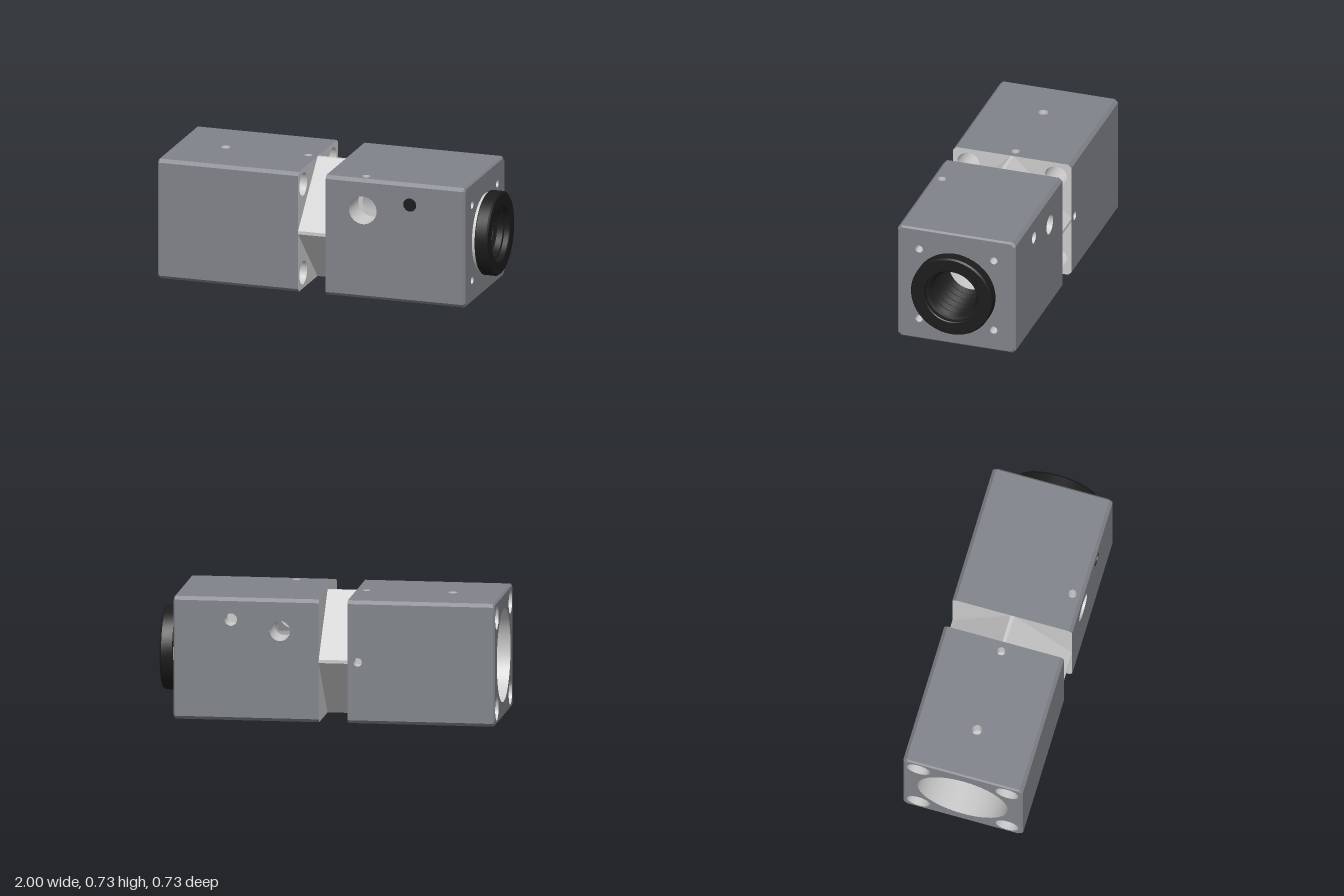
import * as THREE from 'three';
import { toCreasedNormals } from 'three/addons/utils/BufferGeometryUtils.js';

const H = 0.365;   // half height and depth of the blocks
const C = 0.02;    // long edge chamfer
const BEVEL = 0.01; // bevel on the outer ends
const CHAMBER = 0.2;

const mat = (color) => new THREE.MeshStandardMaterial({ color, side: THREE.DoubleSide });

export function createModel() {
  const painted = mat(0x808389);
  const metal = mat(0xcccccc);
  const black = mat(0x1c1c1c);
  const model = new THREE.Group();

  const add = (parent, name, geometry, material) => {
    const mesh = new THREE.Mesh(geometry, material);
    mesh.name = name;
    parent.add(mesh);
    return mesh;
  };

  // Chamfered square, as [z, y] corners; even edges are the flat sides
  const octagon = (h, c) => {
    const f = h - c;
    return [[h, -f], [h, f], [f, h], [-f, h], [-h, f], [-h, -f], [-f, -h], [f, -h]];
  };

  const polygon = (points, holes) => {
    const shape = new THREE.Shape(points.map(([a, b]) => new THREE.Vector2(a, b)));
    for (const [x, y, r] of holes) shape.holes.push(new THREE.Path().absarc(x, y, r, 0, Math.PI * 2, true));
    return shape;
  };

  // Strips between two octagons; step 2 makes only the corner chamfers
  const strips = (x0, h0, x1, h1, first, step) => {
    const p = octagon(h0, C), q = octagon(h1, C), pos = [];
    for (let i = first; i < 8; i += step) {
      const j = (i + 1) % 8;
      const a = [x0, p[i][1], p[i][0]], b = [x1, q[i][1], q[i][0]];
      const c = [x1, q[j][1], q[j][0]], d = [x0, p[j][1], p[j][0]];
      pos.push(...a, ...b, ...c, ...a, ...c, ...d);
    }
    const g = new THREE.BufferGeometry();
    g.setAttribute('position', new THREE.Float32BufferAttribute(pos, 3));
    g.computeVertexNormals();
    return g;
  };

  // Open tube along x; angle 0 is +z, a quarter turn is +y
  const tubeX = (r, x0, x1, y = 0, z = 0, start = 0, sweep = Math.PI * 2) =>
    new THREE.CylinderGeometry(r, r, x1 - x0, 64, 1, true, start, sweep)
      .rotateZ(Math.PI / 2).translate((x0 + x1) / 2, y, z);

  // Flat face across x, facing dir
  const faceX = (shape, x, dir) => new THREE.ShapeGeometry(shape, 32).rotateY(dir * Math.PI / 2).translate(x, 0, 0);

  const ringX = (inner, outer, x, dir) =>
    new THREE.RingGeometry(inner, outer, 64).rotateY(dir * Math.PI / 2).translate(x, 0, 0);

  const corners = (d) => [[d, d], [-d, d], [-d, -d], [d, -d]];

  // A block: four drilled sides (0 front, 1 top, 2 back, 3 bottom), chamfers and two ends
  function block(name, x0, x1, outerDir, sideHoles, outerHoles, innerHoles) {
    const g = new THREE.Group();
    g.name = name;
    const a = outerDir < 0 ? x0 + BEVEL : x0;
    const b = outerDir > 0 ? x1 - BEVEL : x1;
    const f = H - C;
    for (let side = 0; side < 4; side++) {
      const turn = -side * Math.PI / 2;
      const holes = sideHoles.filter((h) => h.side === side);
      const panel = polygon([[a, -f], [b, -f], [b, f], [a, f]], holes.map((h) => [h.x, h.s, h.r]));
      add(g, 'sidePanel', new THREE.ShapeGeometry(panel, 32).translate(0, 0, H).rotateX(turn), painted);
      for (const { x, s, r, depth, floor, material = metal } of holes) {
        add(g, 'sideHole', new THREE.CylinderGeometry(r, r, depth, 40, 1, true)
          .rotateX(Math.PI / 2).translate(x, s, H - depth / 2).rotateX(turn), material);
        if (floor !== undefined) {
          add(g, 'sideHoleFloor', new THREE.RingGeometry(floor, r, 40)
            .translate(x, s, H - depth).rotateX(turn), material);
        }
      }
    }
    add(g, 'edgeChamfers', strips(a, H, b, H, 1, 2), painted);
    const outerX = outerDir > 0 ? x1 : x0, innerX = outerDir > 0 ? x0 : x1;
    add(g, 'endBevel', outerDir > 0 ? strips(b, H, x1, H - BEVEL, 0, 1) : strips(x0, H - BEVEL, a, H, 0, 1), painted);
    add(g, 'outerEnd', faceX(polygon(octagon(H - BEVEL, C), outerHoles), outerX, outerDir), painted);
    add(g, 'innerEnd', faceX(polygon(octagon(H, C), innerHoles), innerX, -outerDir), metal);
    model.add(g);
    return g;
  }

  // Rear block with the wide bore and four through holes
  const through = corners(0.27).map(([z, y]) => [z, y, 0.07]);
  const rear = block('boreBlock', -1, -0.13, -1, [
    { side: 1, x: -0.7, s: 0, r: 0.03, depth: 0.092 },
    { side: 3, x: -0.7, s: 0, r: 0.03, depth: 0.092 },
    ...[1, 2, 3].map((side) => ({ side, x: -0.19, s: 0, r: 0.025, depth: 0.08, floor: 0 })),
  ], [[0, 0, 0.275], ...through], [[0, 0, CHAMBER], ...through]);
  for (const [z, y, r] of through) add(rear, 'throughHole', tubeX(r, -1, -0.13, y, z), metal);
  add(rear, 'bore', tubeX(0.275, -1, -0.73), metal);
  add(rear, 'bore', tubeX(0.275, -0.67, -0.25), metal);
  // Bore band left open where the cross hole passes
  const gap = 0.11;
  for (const start of [Math.PI / 2, -Math.PI / 2]) {
    add(rear, 'bore', tubeX(0.275, -0.73, -0.67, 0, 0, start + gap, Math.PI - 2 * gap), metal);
  }
  add(rear, 'boreShoulder', ringX(CHAMBER, 0.275, -0.25, -1), metal);
  add(rear, 'chamber', tubeX(CHAMBER, -0.25, -0.13), metal);

  // Diamond neck joining the two blocks
  const e = 0.01;
  const diamond = polygon([[H, -e], [H, e], [e, H], [-e, H], [-H, e], [-H, -e], [-e, -H], [e, -H]], [[0, 0, CHAMBER]]);
  add(model, 'neck', new THREE.ExtrudeGeometry(diamond, { depth: 0.17, bevelEnabled: false, curveSegments: 32 })
    .rotateY(Math.PI / 2).translate(-0.13, 0, 0), metal);

  // Front block with the cross hole, set screws and mounting holes
  const mounts = corners(0.23).map(([z, y]) => [z, y, 0.023]);
  const front = block('lensBlock', 0.04, 0.9, 1, [
    { side: 0, x: 0.27, s: 0.175, r: 0.085, depth: 0.17, floor: 0.06 },
    { side: 0, x: 0.56, s: 0.235, r: 0.04, depth: 0.02, floor: 0, material: black },
    { side: 2, x: 0.27, s: -0.175, r: 0.06, depth: 0.2 },
    { side: 2, x: 0.56, s: -0.235, r: 0.037, depth: 0.12, floor: 0 },
    { side: 1, x: 0.27, s: -0.3, r: 0.025, depth: 0.11 },
    { side: 3, x: 0.27, s: 0.3, r: 0.012, depth: 0.455 },
  ], [[0, 0, CHAMBER], ...mounts], [[0, 0, CHAMBER]]);
  for (const [z, y, r] of mounts) {
    add(front, 'mountingHole', tubeX(r, 0.78, 0.9, y, z), metal);
    add(front, 'mountingHoleFloor', new THREE.CircleGeometry(r, 32).rotateY(Math.PI / 2).translate(0.78, y, z), metal);
  }
  add(front, 'chamber', tubeX(CHAMBER, 0.04, 0.18), metal);
  add(front, 'chamber', tubeX(CHAMBER, 0.36, 0.9), metal);
  // Lower chamber wall beneath the cross hole
  const rise = Math.asin(0.08 / CHAMBER);
  add(front, 'chamber', tubeX(CHAMBER, 0.18, 0.36, 0, 0, Math.PI - rise, Math.PI + 2 * rise), metal);

  // Bright collar and black threaded lens ring
  add(model, 'collar', tubeX(0.235, 0.9, 0.92), metal);
  const profile = [[0.2, 0.92], [0.245, 0.92], [0.25, 0.925], [0.25, 0.99], [0.242, 1], [0.17, 1], [0.165, 0.995], [0.165, 0.965]];
  for (let i = 0; i < 12; i++) profile.push([i % 2 ? 0.135 : 0.152, 0.96 - i * 0.03]);
  profile.push([CHAMBER, 0.63]);
  const ring = new THREE.LatheGeometry(profile.map(([r, x]) => new THREE.Vector2(r, x)), 72).rotateZ(-Math.PI / 2);
  add(model, 'lensRing', toCreasedNormals(ring, 0.4), black);

  model.position.y = H;
  const root = new THREE.Group();
  root.name = 'opticalHousing';
  root.add(model);
  return root;
}
